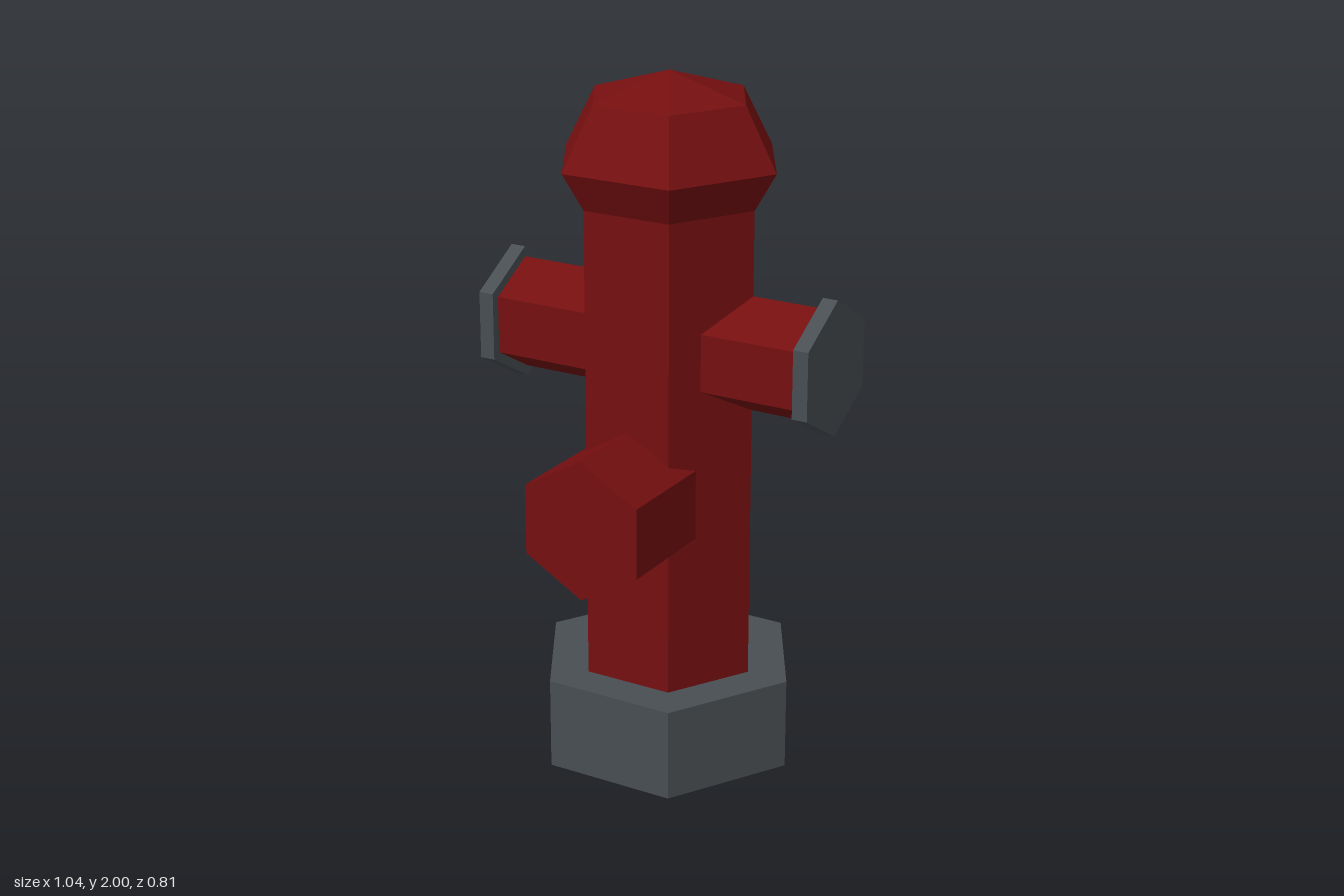
import * as THREE from 'three';

export function createModel() {
  const model = new THREE.Group();
  model.name = 'hydrant';

  const red = new THREE.MeshStandardMaterial({ color: 0x760f10, flatShading: true });
  red.name = 'dark red paint';
  const grey = new THREE.MeshStandardMaterial({ color: 0x484e52, flatShading: true });
  grey.name = 'iron grey';

  const axisZ = -0.07; // the column stands slightly behind the centre

  // Six-sided frustum running from a to b along its own y axis, corners on +-x
  function hex(name, rBottom, rTop, a, b, material, open = false) {
    const geometry = new THREE.CylinderGeometry(rTop, rBottom, b - a, 6, 1, open);
    geometry.rotateY(Math.PI / 2).translate(0, (a + b) / 2, 0);
    const mesh = new THREE.Mesh(geometry, material);
    mesh.name = name;
    return mesh;
  }

  // Base and barrel
  const column = new THREE.Group();
  column.name = 'column';
  column.position.z = axisZ;
  column.add(hex('base', 0.39, 0.39, 0, 0.27, grey));
  column.add(hex('barrel', 0.265, 0.265, 0.27, 1.645, red, true));

  // Bonnet: flaring collar, tapering dome and shallow peak
  const bonnet = new THREE.Group();
  bonnet.name = 'bonnet';
  bonnet.add(hex('collar', 0.265, 0.33, 1.645, 1.755, red, true));
  bonnet.add(hex('dome', 0.33, 0.235, 1.755, 1.93, red, true));
  bonnet.add(hex('peak', 0.235, 0, 1.93, 2, red, true));
  column.add(bonnet);
  model.add(column);

  // Side outlets with wider grey caps
  for (const side of [1, -1]) {
    const outlet = new THREE.Group();
    outlet.name = side > 0 ? 'leftOutlet' : 'rightOutlet';
    outlet.add(hex('outletPipe', 0.165, 0.165, 0.1, 0.475, red));
    outlet.add(hex('outletCap', 0.195, 0.195, 0.475, 0.52, grey));
    outlet.rotation.z = -side * Math.PI / 2;
    outlet.position.set(0, 1.24, axisZ);
    model.add(outlet);
  }

  // Large front outlet, corners pointing up and down
  const front = hex('frontOutlet', 0.203, 0.203, 0, 0.475, red);
  front.geometry.rotateY(Math.PI / 2).rotateX(Math.PI / 2);
  front.position.set(0, 0.828, axisZ);
  model.add(front);

  return model;
}
